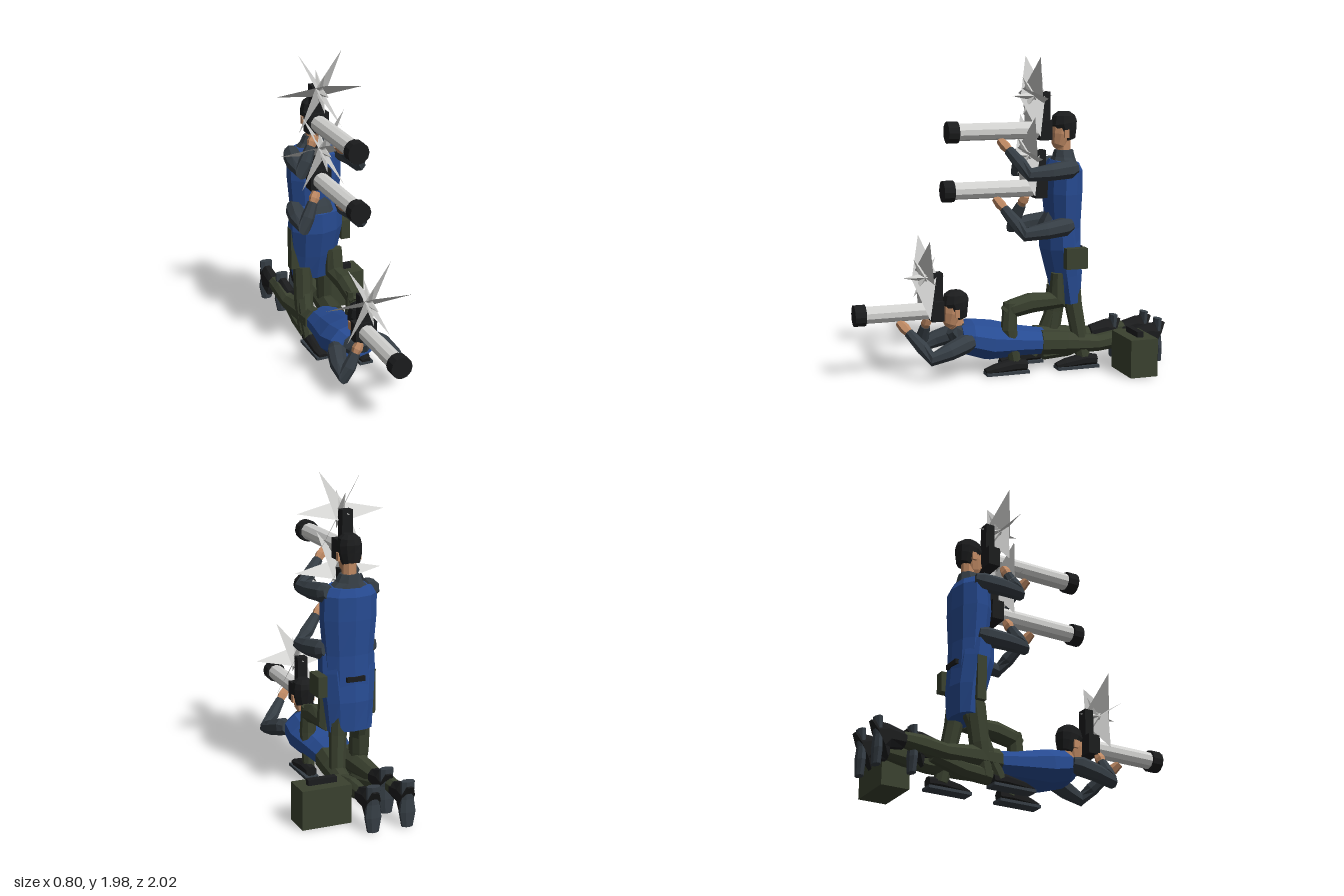
import * as THREE from 'three';

const mat = (name, color) => Object.assign(new THREE.MeshStandardMaterial({ color }), { name });
const M = {
  blue: mat('vest blue', 0x274b92), green: mat('trouser green', 0x3a412f),
  slate: mat('sleeve slate', 0x353d44), black: mat('black', 0x1b1c1d),
  skin: mat('skin', 0xc08a64), silver: mat('silver', 0xd2d2d0),
};
for (const m of Object.values(M)) m.side = THREE.DoubleSide;
const CX = -0.085; // body centre line
const LX = -0.115; // lens centre line

// Adds a flat-faced mesh
function add(group, name, geo, material, x = 0, y = 0, z = 0) {
  const g = geo.index ? geo.toNonIndexed() : geo;
  g.computeVertexNormals();
  const mesh = new THREE.Mesh(g, material);
  mesh.name = name;
  mesh.position.set(x, y, z);
  group.add(mesh);
  return mesh;
}

const box = (group, name, m, x0, x1, y0, y1, z0, z1) => add(group, name,
  new THREE.BoxGeometry(x1 - x0, y1 - y0, z1 - z0), m, (x0 + x1) / 2, (y0 + y1) / 2, (z0 + z1) / 2);

// Skin through cross-sections [x, y, z, halfWidth, halfDepth], closed at both ends
function loft(rings, sides = 8) {
  const c = rings.map(r => new THREE.Vector3(r[0], r[1], r[2]));
  const pos = [], idx = [], last = rings.length - 1;
  rings.forEach((r, i) => {
    const t = c[Math.min(i + 1, last)].clone().sub(c[Math.max(i - 1, 0)]).normalize();
    const u = new THREE.Vector3(1, 0, 0).addScaledVector(t, -t.x).normalize();
    const v = t.clone().cross(u);
    for (let j = 0; j < sides; j++) {
      const a = (j + 0.5) / sides * Math.PI * 2;
      const p = c[i].clone().addScaledVector(u, Math.cos(a) * r[3]).addScaledVector(v, Math.sin(a) * (r[4] ?? r[3]));
      pos.push(p.x, p.y, p.z);
    }
  });
  for (let i = 0; i < last; i++) for (let j = 0; j < sides; j++) {
    const k = (j + 1) % sides, a = i * sides, b = a + sides;
    idx.push(a + j, a + k, b + k, a + j, b + k, b + j);
  }
  for (let j = 1; j < sides - 1; j++) idx.push(0, j + 1, j, last * sides, last * sides + j, last * sides + j + 1);
  const g = new THREE.BufferGeometry();
  g.setAttribute('position', new THREE.Float32BufferAttribute(pos, 3));
  g.setIndex(idx);
  return g;
}

// Flash burst: three long diamond sheets crossing on a slanted line, plus short spikes fore and aft
function burst(group, y, z) {
  const star = new THREE.Group();
  star.name = 'flashBurst';
  star.position.set(LX, y, z);
  const cross = new THREE.Vector3(0.6, -0.5, -0.6);
  for (let i = 0; i < 3; i++) {
    const t = i * Math.PI / 3;
    const a = new THREE.Vector3(Math.cos(t), Math.sin(t), 0);
    const m = cross.clone().addScaledVector(a, -cross.dot(a)).setLength(0.08);
    a.setLength(0.285);
    const n = a.clone().negate(), k = m.clone().negate();
    add(star, 'rays', new THREE.BufferGeometry().setFromPoints([a, m, k, n, k, m]), M.silver);
  }
  for (const a of [30, 90, 150, 210, 270, 330]) {
    const h = a % 180 === 90 ? 0.135 : 0.14;
    add(star, 'spike', new THREE.ConeGeometry(0.028, h, 4).translate(0, h / 2, 0).rotateX(a * Math.PI / 180), M.silver);
  }
  group.add(star);
}

// Camera with long lens; back = z of the body centre, front = z of the lens tip
function camera(group, y, back, front) {
  const rod = (name, r, z0, z1, m, n) => add(group, name,
    new THREE.CylinderGeometry(r, r, z1 - z0, n).rotateX(Math.PI / 2), m, LX, y, (z0 + z1) / 2);
  rod('lens', 0.054, back, front - 0.06, M.silver, 10);
  rod('lensHood', 0.068, front - 0.07, front, M.black, 12);
  box(group, 'cameraBody', M.black, LX - 0.07, LX + 0.07, y - 0.06, y + 0.065, back - 0.035, back + 0.045);
  box(group, 'flashUnit', M.black, LX - 0.035, LX + 0.035, y + 0.05, y + 0.24, back - 0.035, back + 0.025);
}

// Head centred at y, z with its neck leading to the collar point
function head(group, y, z, neck) {
  add(group, 'face', loft([
    [CX, y - 0.125, z + 0.045, 0.025, 0.025], [CX, y - 0.1, z + 0.03, 0.045, 0.055],
    [CX, y - 0.03, z + 0.015, 0.062, 0.07], [CX, y + 0.05, z + 0.01, 0.062, 0.07]], 10), M.skin);
  add(group, 'nose', new THREE.ConeGeometry(0.015, 0.045, 4), M.skin, CX, y - 0.04, z + 0.09);
  add(group, 'hair', loft([
    [CX, y - 0.065, z - 0.03, 0.054, 0.047], [CX, y - 0.01, z - 0.015, 0.072, 0.07],
    [CX, y + 0.04, z, 0.076, 0.089], [CX, y + 0.085, z, 0.066, 0.075],
    [CX, y + 0.11, z, 0.035, 0.04]], 10), M.black);
  for (const s of [-1, 1]) box(group, 'ear', M.skin, CX + s * 0.07 - 0.007, CX + s * 0.07 + 0.007, y - 0.05, y, z - 0.01, z + 0.02);
  add(group, 'neck', loft([[CX, ...neck, 0.045], [CX, y - 0.05, z, 0.045]]), M.skin);
}

// Bent arm on side s: shoulder, elbow and hand given as [y, z]
function arm(group, s, sh, el, ha) {
  const xs = CX + s * 0.15, xe = CX + s * 0.185, xh = LX + (s > 0 ? 0.02 : -0.05);
  const mix = (t, r) => [xe + (xh - xe) * t, el[0] + (ha[0] - el[0]) * t, el[1] + (ha[1] - el[1]) * t, r];
  add(group, 'sleeve', loft([
    [xs - s * 0.01, sh[0] + 0.01, sh[1] - 0.05, 0.042], [xs, ...sh, 0.06],
    [(xs + xe) / 2 + s * 0.012, (sh[0] + el[0]) / 2, (sh[1] + el[1]) / 2, 0.054],
    [xe, ...el, 0.045], mix(0.3, 0.043), mix(0.74, 0.032)]), M.slate);
  add(group, 'hand', loft([mix(0.7, 0.024), mix(0.87, 0.034), mix(1.05, 0.026)], 6), M.skin);
}

const leg = (group, name, rings) => add(group, name, loft(rings), M.green);

// Flat shoe pointing forward
function shoe(group, x, z0, z1) {
  box(group, 'sole', M.slate, x - 0.045, x + 0.045, 0, 0.018, z0, z1);
  add(group, 'shoe', loft([[x, 0.045, z0 + 0.01, 0.038, 0.035], [x, 0.05, z0 + 0.09, 0.042, 0.042],
    [x, 0.035, z1 - 0.06, 0.044, 0.03], [x, 0.025, z1, 0.03, 0.016]]), M.black);
}

// Boot standing on its toe, sole facing back
function toeBoot(group, x, z) {
  add(group, 'boot', loft([[x, 0.17, z + 0.19, 0.046, 0.052], [x, 0.18, z + 0.09, 0.046, 0.075], [x, 0.15, z + 0.035, 0.046, 0.125]]), M.black);
  add(group, 'sole', loft([[x, 0, z + 0.024, 0.036, 0.024], [x, 0.09, z + 0.026, 0.054, 0.028],
    [x, 0.17, z + 0.03, 0.042, 0.025], [x, 0.28, z + 0.024, 0.044, 0.025]]), M.slate);
}

export function createModel() {
  const model = new THREE.Group();
  const person = name => {
    const g = new THREE.Group();
    g.name = name;
    model.add(g);
    return g;
  };

  // Standing figure
  const a = person('standingFigure');
  add(a, 'vest', loft([[CX, 0.7, -0.365, 0.155, 0.1], [CX, 0.9, -0.355, 0.16, 0.105], [CX, 1.12, -0.35, 0.18, 0.12],
    [CX, 1.27, -0.355, 0.18, 0.115], [CX, 1.32, -0.36, 0.14, 0.09]], 10), M.blue);
  add(a, 'collar', loft([[CX, 1.29, -0.355, 0.15, 0.09], [CX, 1.345, -0.36, 0.085, 0.07], [CX, 1.39, -0.36, 0.06, 0.06]]), M.slate);
  head(a, 1.52, -0.36, [1.36, -0.36]);
  arm(a, 1, [1.28, -0.34], [1.26, -0.07], [1.45, 0.05]);
  arm(a, -1, [1.28, -0.34], [1.25, -0.1], [1.45, -0.15]);
  camera(a, 1.515, -0.235, 0.4);
  burst(a, 1.73, -0.165);
  leg(a, 'leftLeg', [[-0.02, 0.7, -0.37, 0.065], [0.0, 0.4, -0.4, 0.055], [0.03, 0.05, -0.46, 0.045]]);
  leg(a, 'rightLeg', [[-0.15, 0.7, -0.37, 0.065], [-0.16, 0.42, -0.36, 0.055], [-0.18, 0.22, -0.28, 0.05], [-0.19, 0.05, -0.19, 0.042]]);
  shoe(a, 0.04, -0.55, -0.27);
  shoe(a, -0.19, -0.25, 0.03);

  // Kneeling figure
  const b = person('kneelingFigure');
  add(b, 'vest', loft([[CX, 0.42, -0.385, 0.145, 0.075], [CX, 0.6, -0.365, 0.16, 0.11], [CX, 0.78, -0.335, 0.182, 0.125],
    [CX, 0.9, -0.325, 0.18, 0.115], [CX, 0.95, -0.33, 0.14, 0.09]], 10), M.blue);
  add(b, 'collar', loft([[CX, 0.91, -0.32, 0.13, 0.13], [CX, 0.95, -0.32, 0.11, 0.11], [CX, 1.03, -0.32, 0.06, 0.06]]), M.slate);
  head(b, 1.155, -0.335, [1.0, -0.33]);
  arm(b, 1, [0.92, -0.31], [0.89, -0.04], [1.085, 0.08]);
  arm(b, -1, [0.92, -0.31], [0.89, -0.07], [1.085, -0.13]);
  camera(b, 1.15, -0.205, 0.43);
  burst(b, 1.36, -0.13);
  box(b, 'sidePouch', M.green, 0.085, 0.145, 0.66, 0.79, -0.44, -0.3);
  box(b, 'backPouch', M.black, -0.15, -0.03, 0.745, 0.775, -0.472, -0.44);
  box(b, 'hipPouch', M.green, -0.26, -0.2, 0.5, 0.78, -0.38, -0.32);
  leg(b, 'leftThigh', [[0.02, 0.62, -0.28, 0.055, 0.035], [0.025, 0.45, -0.28, 0.06, 0.07],
    [0.02, 0.44, -0.1, 0.055, 0.065], [0.015, 0.41, 0.02, 0.05, 0.06], [0.015, 0.38, 0.06, 0.038, 0.05]]);
  leg(b, 'leftShin', [[0.015, 0.45, 0.03, 0.045], [0.015, 0.28, 0.04, 0.052], [0.025, 0.05, 0.0, 0.036]]);
  shoe(b, 0.035, -0.08, 0.2);
  leg(b, 'rightThigh', [[-0.17, 0.5, -0.35, 0.065], [-0.18, 0.25, -0.32, 0.06], [-0.18, 0.05, -0.28, 0.05]]);
  leg(b, 'rightShin', [[-0.18, 0.06, -0.25, 0.05], [-0.17, 0.08, -0.42, 0.055], [-0.17, 0.13, -0.62, 0.042]]);
  toeBoot(b, -0.165, -0.77);

  // Prone figure
  const c = person('proneFigure');
  add(c, 'vest', loft([[CX, 0.165, -0.21, 0.13, 0.085], [CX, 0.18, -0.05, 0.15, 0.098], [CX, 0.2, 0.15, 0.185, 0.128],
    [CX, 0.23, 0.28, 0.17, 0.115], [CX, 0.235, 0.34, 0.13, 0.085]], 10), M.blue);
  add(c, 'collar', loft([[CX, 0.235, 0.29, 0.15, 0.09], [CX, 0.26, 0.35, 0.1, 0.075], [CX, 0.29, 0.38, 0.055, 0.05]]), M.slate);
  head(c, 0.42, 0.36, [0.27, 0.34]);
  arm(c, 1, [0.22, 0.34], [0.15, 0.56], [0.34, 0.71]);
  arm(c, -1, [0.22, 0.34], [0.15, 0.54], [0.34, 0.52]);
  camera(c, 0.405, 0.475, 1);
  burst(c, 0.62, 0.55);
  for (const s of [-1, 1]) {
    const x = -0.08 + s * 0.11;
    leg(c, 'leg', [[CX + s * 0.07, 0.17, -0.19, 0.075, 0.08], [x - s * 0.02, 0.165, -0.35, 0.07, 0.075],
      [x, 0.15, -0.55, 0.055, 0.055], [x, 0.17, -0.7, 0.05, 0.06], [x, 0.18, -0.83, 0.042, 0.045]]);
    toeBoot(c, x, -1);
  }

  // Equipment case
  box(model, 'equipmentCase', M.green, 0.09, 0.4, 0, 0.24, -0.81, -0.63);
  box(model, 'caseHandle', M.black, 0.155, 0.335, 0.24, 0.275, -0.74, -0.7);
  return model;
}
